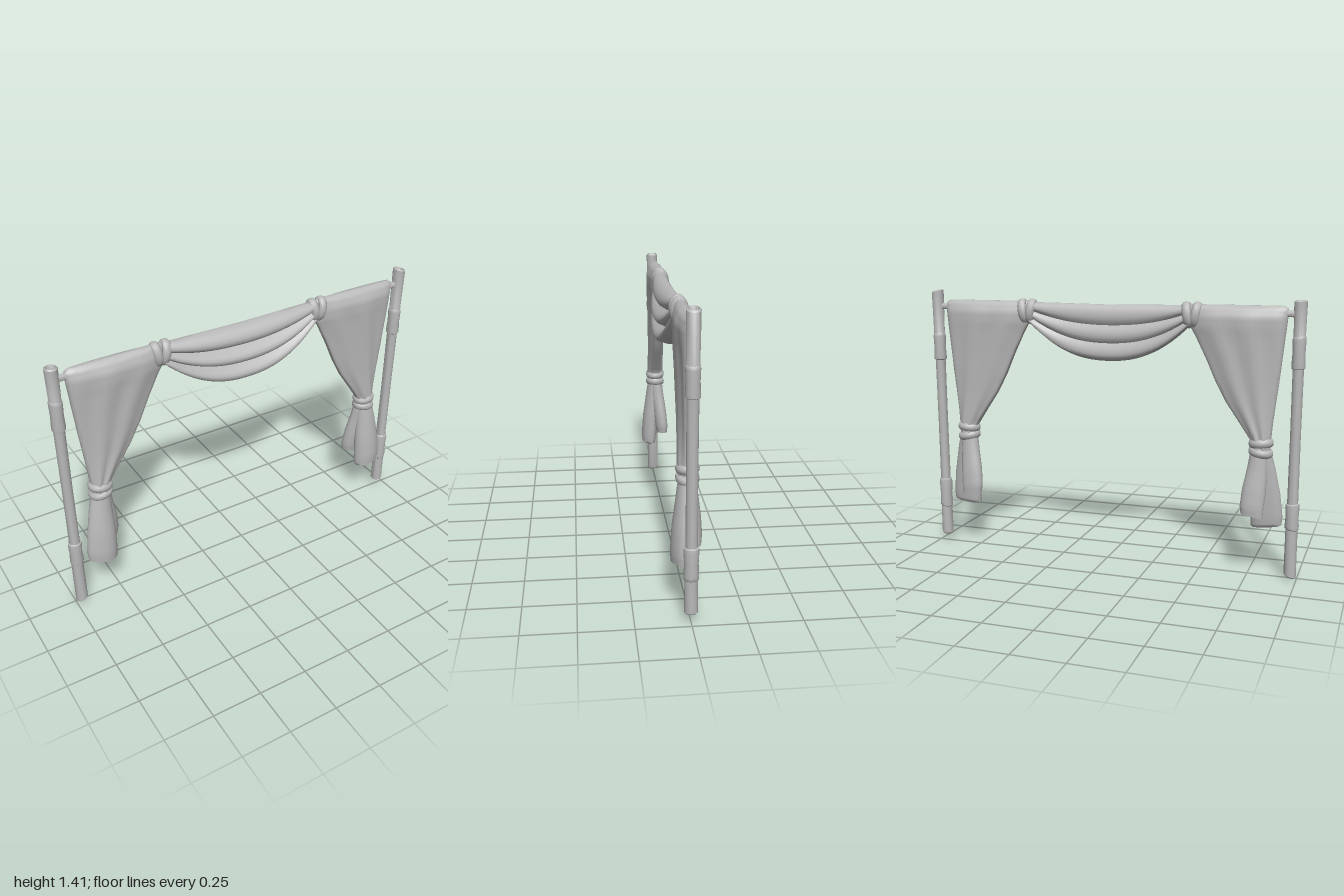
import * as THREE from 'three';
import { toCreasedNormals, mergeVertices } from 'three/addons/utils/BufferGeometryUtils.js';

const grey = new THREE.MeshStandardMaterial({ color: 0xb8b8b8 });
grey.name = 'plain grey';
const lerp = THREE.MathUtils.lerp;

function part(name, geometry, crease = 0.9) {
  const mesh = new THREE.Mesh(toCreasedNormals(geometry, crease), grey);
  mesh.name = name;
  return mesh;
}

// Skins closed cross-sections, caps both ends and turns the faces outwards
function loft(sections) {
  const n = sections[0].length, pos = [], idx = [];
  sections.forEach(s => s.forEach(p => pos.push(...p)));
  for (let i = 0; i < sections.length - 1; i++) {
    for (let j = 0; j < n; j++) {
      const a = i * n + j, b = i * n + (j + 1) % n;
      idx.push(a, b, a + n, b, b + n, a + n);
    }
  }
  [0, sections.length - 1].forEach((row, end) => {
    const c = pos.length / 3;
    pos.push(...[0, 1, 2].map(k => sections[row].reduce((t, p) => t + p[k], 0) / n));
    for (let j = 0; j < n; j++) {
      const a = row * n + j, b = row * n + (j + 1) % n;
      idx.push(c, end ? a : b, end ? b : a);
    }
  });
  let volume = 0;
  const v = i => new THREE.Vector3().fromArray(pos, i * 3);
  for (let i = 0; i < idx.length; i += 3) volume += v(idx[i]).dot(v(idx[i + 1]).cross(v(idx[i + 2])));
  if (volume < 0) idx.reverse();
  const g = new THREE.BufferGeometry();
  g.setAttribute('position', new THREE.Float32BufferAttribute(pos, 3));
  g.setIndex(idx);
  return mergeVertices(g);
}

// Smooth interpolation through rows of numbers, the first column is the key
function sampleRows(rows, steps) {
  const out = [];
  for (let i = 0; i < rows.length - 1; i++) {
    for (let s = 0; s < steps; s++) out.push(rows[i].map((a, k) => lerp(a, rows[i + 1][k], s / steps)));
  }
  out.push(rows[rows.length - 1]);
  return out;
}

// Bamboo pole with two thicker sleeves, hollow and obliquely cut ends
function pole({ x0, x1, y0, y1, low, high, cutLow, cutHigh }) {
  const profile = [
    [0, y0 + 0.015], [0.021, y0 + 0.015], [0.025, y0], [0.031, y0 + 0.006],
    [0.030, low[0] - 0.004], [0.034, low[0]], [0.035, low[0] + 0.015], [0.032, (low[0] + low[1]) / 2],
    [0.035, low[1] - 0.015], [0.033, low[1]], [0.027, low[1] + 0.004],
    [0.026, (low[1] + high[0]) / 2],
    [0.027, high[0] - 0.004], [0.033, high[0]], [0.034, high[0] + 0.015], [0.031, (high[0] + high[1]) / 2],
    [0.033, high[1] - 0.015], [0.032, high[1]], [0.029, high[1] + 0.004],
    [0.032, y1 - 0.006], [0.026, y1], [0.021, y1 - 0.015], [0, y1 - 0.015],
  ];
  const g = new THREE.LatheGeometry(profile.map(p => new THREE.Vector2(...p)), 14);
  const p = g.attributes.position;
  for (let i = 0; i < p.count; i++) {
    const x = p.getX(i), y = p.getY(i), t = (y - y0) / (y1 - y0);
    let slope = 0.12 * Math.sin(y * 9);
    if (t < 0.03) slope = cutLow;
    if (t > 0.97) slope = cutHigh;
    p.setY(i, y + x * slope);
    p.setX(i, x + lerp(x0, x1, t));
  }
  return part('bamboo pole', g, 0.7);
}

// Side curtain: gathers from the rod down to the tie (height, outer x, inner x, half thickness)
function curtain(drop) {
  const rows = sampleRows([
    [1.357, 0.895, 0.43, 0.014], [1.342, 0.912, 0.42, 0.036], [1.30, 0.910, 0.42, 0.056],
    [1.25, 0.905, 0.43, 0.056], [1.20, 0.900, 0.46, 0.052], [1.08, 0.888, 0.52, 0.046],
    [0.98, 0.878, 0.565, 0.043], [0.88, 0.866, 0.62, 0.041], [0.78, 0.855, 0.69, 0.041],
    [0.70, 0.848, 0.745, 0.043], [0.64, 0.845, 0.755, 0.042],
  ], 3);
  const n = 40;
  return part('side curtain', loft(rows.map(([y, xo, xi, t]) => {
    const fall = (1.357 - y) / 0.717, yy = y - drop * fall, ring = [];
    for (let j = 0; j < n; j++) {
      const a = j / n * Math.PI * 2, u = (1 - Math.cos(a)) / 2;
      const s = Math.sin(a), ripple = 1 + 0.13 * Math.min(1, fall * 4) * Math.sin(u * 17 + 1 + fall * 2);
      const z = Math.sign(s) * Math.abs(s) ** 0.75 * t * ripple * (1 - 0.3 * u * (1 - fall));
      ring.push([lerp(xo, xi, u), yy, z]);
    }
    return ring;
  })), 1.1);
}

// Hanging tail below the tie, flaring to its hem (height, x, z, half width, half depth)
function tail(name, rows, drop, tilt) {
  const n = 24;
  return part(name, loft(sampleRows(rows, 3).map(([y, x, z, rx, rz]) => {
    const ring = [], flare = Math.max(0, (0.64 - y) / 0.4);
    for (let j = 0; j < n; j++) {
      const a = j / n * Math.PI * 2, k = 1 + 0.08 * flare * Math.cos(3 * a + 1);
      const px = Math.cos(a) * rx * k;
      ring.push([x + px, y - drop + px * tilt * flare, z + Math.sin(a) * rz * k]);
    }
    return ring;
  })));
}

// Oval rope-like band around gathered cloth, axis along y
function band(name, rx, rz, tube) {
  const g = new THREE.TorusGeometry(1, 0.5, 10, 24);
  const p = g.attributes.position;
  for (let i = 0; i < p.count; i++) {
    const a = Math.atan2(p.getY(i), p.getX(i));
    const d = (Math.hypot(p.getX(i), p.getY(i)) - 1) * 2 * tube * 0.75, h = p.getZ(i) * 2 * tube;
    p.setXYZ(i, Math.cos(a) * (rx + d), h, -Math.sin(a) * (rz + d));
  }
  return part(name, mergeVertices(g), 1.5);
}

// Central swag with three overlapping folds
function swag() {
  const folds = [0, 0.36, 0.68, 1], columns = 28, per = 7, sections = [];
  for (let i = 0; i <= columns; i++) {
    const x = lerp(-0.43, 0.43, i / columns), e = Math.abs(x) / 0.43, open = 1 - e ** 2.3;
    const top = 1.346 + 0.006 * e, bottom = 1.25 - 0.19 * open;
    const front = [], back = [];
    for (let f = 0; f < 3; f++) {
      for (let k = 0; k < per; k++) {
        const s = k / (per - 1);
        const v = lerp(folds[f], folds[f + 1], s);
        const y = lerp(top, bottom, v);
        // each fold sags: widest near its lower lip
        let bulge = Math.sin(Math.PI * Math.min(1, s ** 1.3)) ** 0.7;
        if (f === 0 && k === 0) bulge = 0.1;
        const base = f === 0 && k === 0 ? 0.008 : (f === 2 && k === per - 1 ? 0.006 : 0.022);
        const amp = lerp(0.012, [0.04, 0.05, 0.05][f], open);
        front.push([x, y, base + lerp(0, 0.006, open) + amp * bulge]);
        back.push([x, y, -base * 0.7 - 0.016 * bulge]);
      }
      if (f < 2) { front.pop(); back.pop(); }
    }
    sections.push([...front, ...back.reverse()]);
  }
  return part('central swag', loft(sections), 0.75);
}

export function createModel() {
  const model = new THREE.Group();
  model.name = 'draped curtain frame';

  // Poles
  model.add(pole({ x0: -0.965, x1: -0.967, y0: 0.01, y1: 1.385, low: [0.26, 0.385], high: [1.06, 1.21], cutLow: 0.3, cutHigh: -0.05 }));
  model.add(pole({ x0: 0.955, x1: 0.967, y0: 0.045, y1: 1.405, low: [0.21, 0.36], high: [1.035, 1.17], cutLow: 0.05, cutHigh: -0.25 }));

  // Cross rod
  const rod = part('cross rod', new THREE.CylinderGeometry(0.016, 0.016, 1.93, 12));
  rod.rotation.z = Math.PI / 2;
  rod.position.y = 1.32;
  model.add(rod, swag());

  // Curtain sides, built on +x and flipped for the other side
  for (const side of [1, -1]) {
    const drop = side > 0 ? 0.015 : 0;
    const group = new THREE.Group();
    group.name = side > 0 ? 'left curtain' : 'right curtain';
    const tails = [
      tail('front tail', [[0.66, 0.803, 0, 0.045, 0.038], [0.56, 0.815, 0.012, 0.058, 0.040],
        [0.42, 0.825, 0.026, 0.074, 0.044], [0.30, 0.832, 0.034, 0.079, 0.043], [0.255, 0.832, 0.036, 0.075, 0.038], [0.25, 0.83, 0.036, 0.066, 0.03]], drop, 0.1),
      tail('back tail', [[0.66, 0.797, -0.005, 0.045, 0.034], [0.56, 0.788, -0.014, 0.050, 0.036],
        [0.45, 0.776, -0.028, 0.058, 0.038], [0.36, 0.768, -0.038, 0.058, 0.036], [0.32, 0.77, -0.040, 0.054, 0.03]], drop, -0.2),
    ];
    const cloth = [curtain(drop), ...tails];
    // Flip x and the winding together so the faces still point outwards
    if (side < 0) {
      for (const mesh of cloth) {
        for (const key of ['position', 'normal']) {
          const a = mesh.geometry.attributes[key];
          for (let i = 0; i < a.count; i += 3) {
            const q = [0, 2, 1].map(k => [-a.getX(i + k), a.getY(i + k), a.getZ(i + k)]);
            q.forEach((v, k) => a.setXYZ(i + k, ...v));
          }
        }
      }
    }
    group.add(...cloth);

    // Lower tie: two crossing bands
    [[0.683, 0.1, 0.05], [0.638, -0.16, -0.06]].forEach(([y, tilt, pitch]) => {
      const ring = band('curtain tie', 0.046, 0.038, 0.022);
      ring.position.set(side * 0.8, y - drop, 0);
      ring.rotation.set(pitch, 0, side * tilt);
      group.add(ring);
    });

    // Upper knot: two bands around the rod, closer together below
    [-1, 1].forEach(k => {
      const ring = band('rod knot', 0.05, 0.028, 0.023);
      ring.position.set(side * 0.44 + k * 0.021, 1.304, 0);
      ring.rotation.z = Math.PI / 2 - k * 0.16;
      group.add(ring);
    });
    model.add(group);
  }
  return model;
}
